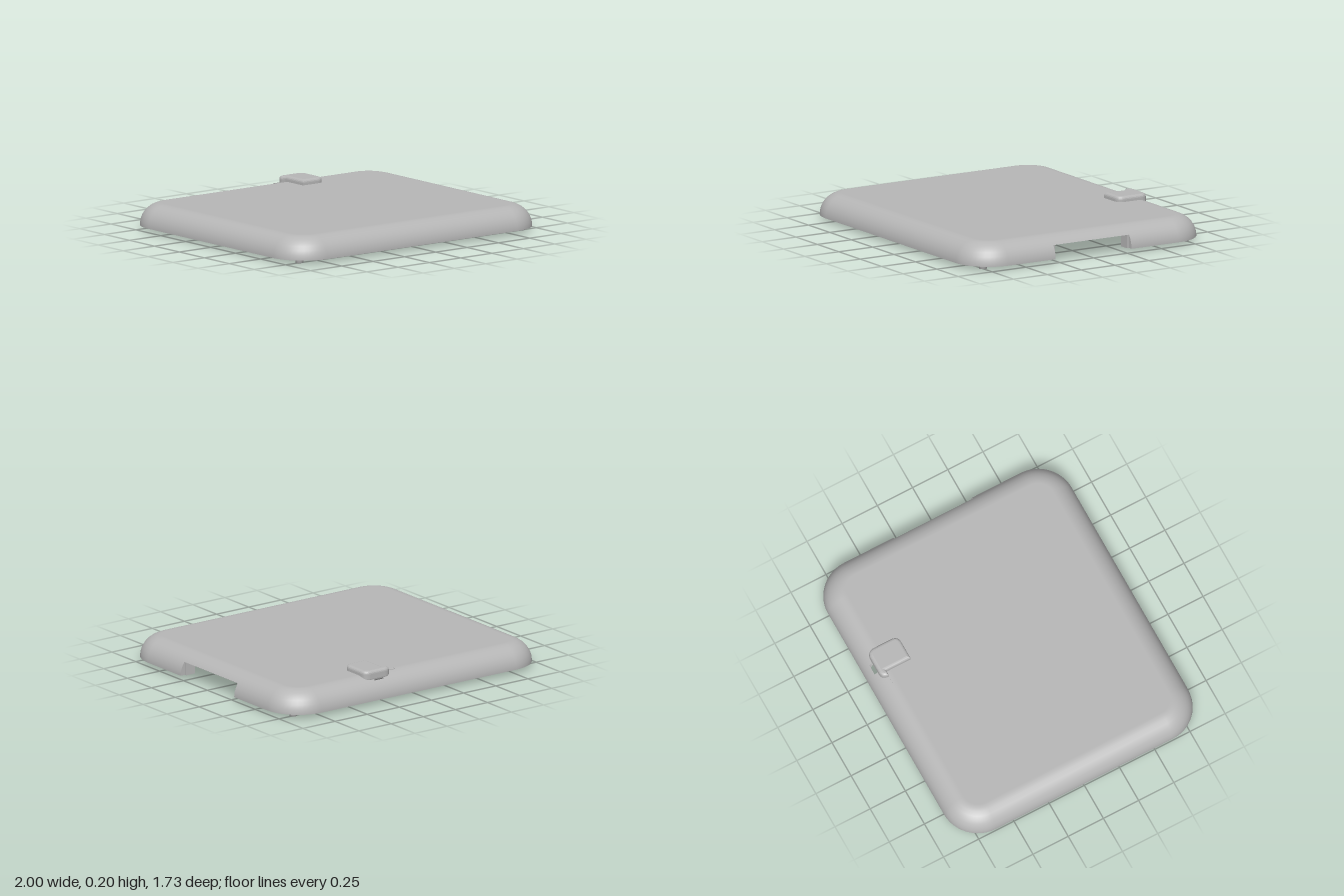
import * as THREE from 'three';

const casing = new THREE.MeshStandardMaterial({ color: 0xb6b6b6, side: THREE.DoubleSide });
casing.name = 'casing grey';

const CX = 0.76, CZ = 0.627;          // centres of the plan's corner arcs
const RIM = 0.025, TOP = 0.165, CEIL = 0.135;
const OPEN = 0.28;                    // half width of the side opening

// Plan outline: each point is a base plus a direction, offset later by a radius
const outline = [];
let slotSeg, openSeg;
const addPoint = (x, z, dx, dz) => outline.push({ x, z, dx, dz });
[[1, 1], [-1, 1], [-1, -1], [1, -1]].forEach(([sx, sz], k) => {
  if (k === 3) {
    slotSeg = outline.length;
    addPoint(0.23, -CZ, 0, -1);
    addPoint(0.30, -CZ, 0, -1);
  }
  for (let i = 0; i <= 12; i++) {
    const a = (k + i / 12) * Math.PI / 2;
    addPoint(sx * CX, sz * CZ, Math.cos(a), Math.sin(a));
  }
});
openSeg = outline.length;
addPoint(CX, -OPEN, 1, 0);
addPoint(CX, OPEN, 1, 0);

// Skin through levels of {r, y, nr, ny}; skip() leaves out single panels
function skin(levels, skip) {
  const pos = [], nor = [], idx = [], n = outline.length;
  for (const l of levels) for (const p of outline) {
    pos.push(p.x + p.dx * l.r, l.y, p.z + p.dz * l.r);
    nor.push(p.dx * l.nr, l.ny, p.dz * l.nr);
  }
  for (let i = 0; i < levels.length - 1; i++) for (let j = 0; j < n; j++) {
    if (skip(j, levels[i], levels[i + 1])) continue;
    const k = (j + 1) % n, a = i * n + j, b = a + n, c = i * n + k, d = c + n;
    idx.push(a, b, c, b, d, c);
  }
  const g = new THREE.BufferGeometry();
  g.setAttribute('position', new THREE.Float32BufferAttribute(pos, 3));
  g.setAttribute('normal', new THREE.Float32BufferAttribute(nor, 3));
  g.setIndex(idx);
  return g;
}

// Quarter-round wall profile
const arc = (angles, w, h, sign) => angles.map(t => ({
  t, r: 0.10 + w * Math.cos(t), y: RIM + h * Math.sin(t), nr: sign * Math.cos(t), ny: sign * Math.sin(t),
}));

// Horizontal slab from a plan shape, between two heights
function slab(shape, y0, y1, options = {}) {
  const g = new THREE.ExtrudeGeometry(shape, { depth: y1 - y0, bevelEnabled: false, curveSegments: 8, ...options });
  return g.rotateX(Math.PI / 2).translate(0, y1, 0);
}

const polygon = pts => new THREE.Shape(pts.map(([x, y]) => new THREE.Vector2(x, y)));

export function createModel() {
  const model = new THREE.Group();
  model.name = 'coverShell';
  const add = (name, geometry, x = 0, y = 0, z = 0) => {
    const m = new THREE.Mesh(geometry, casing);
    m.name = name;
    m.position.set(x, y, z);
    model.add(m);
    return m;
  };
  const box = (name, w, h, d, x, y, z) => add(name, new THREE.BoxGeometry(w, h, d), x, y, z);

  // Rounded outer and inner walls, with the side opening and rear slot left out
  const outer = arc([0, 0.22, 0.44, 0.652, 0.825, 1.03, 1.243, 1.41, Math.PI / 2], 0.14, 0.14, 1);
  const inner = arc([0, 0.22, 0.44, 0.66, 0.883, 1.1, 1.34, Math.PI / 2], 0.095, 0.11, -1).reverse();
  add('outerWall', skin(outer, (j, a, b) =>
    (j === openSeg && b.t < 0.66) || (j === slotSeg && a.t > 0.82 && b.t < 1.25)));
  add('innerWall', skin(inner, (j, a, b) =>
    (j === openSeg && a.t < 0.89) || (j === slotSeg && b.t > 0.2 && a.t < 0.89)));

  // Flat bottom rim and the head of the opening
  const ledge = (r0, r1, y) => [{ r: r0, y, nr: 0, ny: -1 }, { r: r1, y, nr: 0, ny: -1 }];
  add('bottomRim', skin(ledge(0.195, 0.24, RIM), j => j === openSeg));
  add('openingHead', skin(ledge(0.16, 0.211, 0.11), j => j !== openSeg));

  // Cut wall ends and jambs of the opening
  const section = polygon([
    ...outer.filter(l => l.t < 0.66).map(l => [CX + l.r, l.y]),
    ...inner.filter(l => l.t < 0.89).map(l => [CX + l.r, l.y]),
  ]);
  for (const s of [-1, 1]) {
    add('openingEnd', new THREE.ShapeGeometry(section), 0, 0, s * OPEN);
    box('openingJamb', 0.068, 0.085, 0.015, 0.934, 0.0675, s * 0.2725);
  }

  // Flat top with the rectangular window
  const plan = polygon(outline.map(p => [p.x + p.dx * 0.10, p.z + p.dz * 0.10]));
  plan.holes.push(new THREE.Path([[0.10, -0.755], [0.30, -0.755], [0.30, -0.575], [0.10, -0.575]]
    .map(([x, z]) => new THREE.Vector2(x, z))));
  add('topPlate', slab(plan, CEIL, TOP));

  // Raised hood beside the window, notched along it
  const hood = new THREE.Shape();
  hood.moveTo(0.20, -0.582);
  hood.lineTo(0.20, -0.755);
  hood.lineTo(0.165, -0.755);
  hood.quadraticCurveTo(0.165, -0.803, 0.215, -0.803);
  hood.lineTo(0.32, -0.803);
  hood.quadraticCurveTo(0.37, -0.803, 0.37, -0.753);
  hood.lineTo(0.37, -0.632);
  hood.quadraticCurveTo(0.37, -0.582, 0.32, -0.582);
  hood.closePath();
  add('hood', slab(hood, 0.148, 0.18, {
    bevelEnabled: true, bevelSize: 0.02, bevelOffset: -0.02, bevelThickness: 0.02, bevelSegments: 4,
  }));

  // Corner posts with hollow locating pegs
  const peg = new THREE.LatheGeometry([[0.012, 0.03], [0.012, 0], [0.024, 0], [0.024, 0.03]]
    .map(([x, y]) => new THREE.Vector2(x, y)), 20);
  for (const sx of [-1, 1]) for (const sz of [-1, 1]) {
    const post = polygon([[0.78, 0.80], [0.78, 0.74], [0.85, 0.66], [0.93, 0.66], [0.92, 0.72], [0.86, 0.79]]
      .map(([x, z]) => [sx * x, sz * z]));
    add('cornerPost', slab(post, RIM, 0.12));
    add('locatingPeg', peg, sx * 0.885, 0, sz * 0.745);
  }

  // Inner rib and shallow pads under the top
  box('wallRib', 0.08, 0.085, 0.09, -0.89, 0.078, 0.52);
  for (const [x, z] of [[0.42, 0.19], [-0.82, 0.02], [0.17, -0.5]])
    box('ceilingPad', 0.13, 0.008, 0.13, x, CEIL - 0.003, z);

  return model;
}
